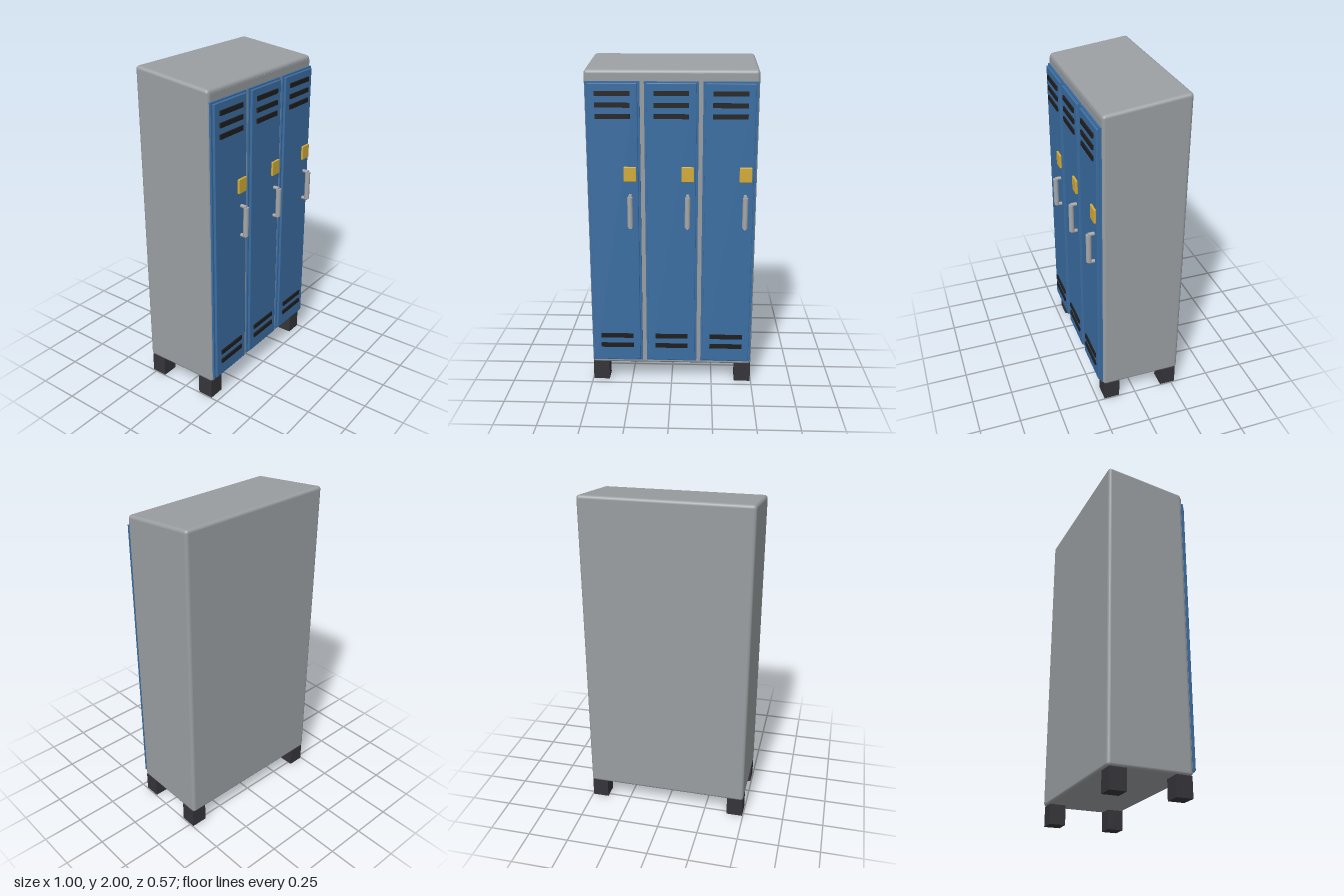
import * as THREE from 'three';
import { RoundedBoxGeometry } from 'three/addons/geometries/RoundedBoxGeometry.js';

const mat = (name, color) => {
  const m = new THREE.MeshStandardMaterial({ color });
  m.name = name;
  return m;
};

export function createModel() {
  const grey = mat('cabinet grey', 0x9a9ea1);
  const blue = mat('door blue', 0x3b6ea3);
  const black = mat('vent black', 0x1e1e1f);
  const brass = mat('lock brass', 0xd2ac38);
  const steel = mat('handle steel', 0xa6a7a9);
  const dark = mat('foot charcoal', 0x35353a);

  const add = (parent, name, geometry, material, x, y, z) => {
    const mesh = new THREE.Mesh(geometry, material);
    mesh.name = name;
    mesh.position.set(x, y, z);
    parent.add(mesh);
    return mesh;
  };
  const box = (w, h, d) => new THREE.BoxGeometry(w, h, d);

  const model = new THREE.Group();
  model.name = 'lockerBank';

  // Cabinet: rounded box whose upper half is sheared into a sloping top
  const slope = 0.12;
  const body = new RoundedBoxGeometry(0.995, 1.88, 0.497, 3, 0.02);
  const p = body.attributes.position, n = body.attributes.normal;
  const normal = new THREE.Vector3();
  for (let i = 0; i < p.count; i++) {
    if (p.getY(i) < 0) continue;
    p.setY(i, p.getY(i) - slope * (p.getZ(i) + 0.2485));
    normal.fromBufferAttribute(n, i);
    normal.z += slope * normal.y;
    normal.normalize();
    n.setXYZ(i, normal.x, normal.y, normal.z);
  }
  add(model, 'cabinet', body, grey, 0, 1.06 - 0.06 + 0.06, -0.038);
  add(model, 'frontFrame', box(0.97, 1.785, 0.006), grey, 0, 1.0275, 0.21);

  // Feet
  for (const x of [-0.445, 0.445]) {
    for (const z of [-0.226, 0.154]) {
      add(model, 'foot', box(0.1, 0.122, 0.098), dark, x, 0.061, z);
    }
  }

  // One door with its vents, lock and handle
  const makeDoor = (x) => {
    const door = new THREE.Group();
    door.name = 'door';
    door.position.x = x;
    add(door, 'doorBack', box(0.31, 1.73, 0.012), blue, 0, 1.013, 0.217);
    add(door, 'doorPanel', new RoundedBoxGeometry(0.284, 1.71, 0.02, 2, 0.004), blue, 0, 1.014, 0.227);

    for (const y of [1.813, 1.747, 1.684, 0.322, 0.258]) {
      add(door, 'vent', box(0.2, 0.027, 0.009), black, 0, y, 0.241);
    }
    add(door, 'lock', new RoundedBoxGeometry(0.073, 0.088, 0.014, 2, 0.004), brass, 0.095, 1.349, 0.243);

    const handle = new THREE.Group();
    handle.name = 'handle';
    handle.position.set(0.095, 1.128, 0);
    add(handle, 'grip', new THREE.CylinderGeometry(0.016, 0.016, 0.18, 12), steel, 0, 0, 0.271);
    for (const y of [-0.092, 0.092]) {
      const post = add(handle, 'post', new THREE.CylinderGeometry(0.011, 0.011, 0.038, 10), steel, 0, y, 0.254);
      post.rotation.x = Math.PI / 2;
    }
    door.add(handle);
    return door;
  };
  for (const x of [-0.335, 0, 0.335]) model.add(makeDoor(x));

  return model;
}
